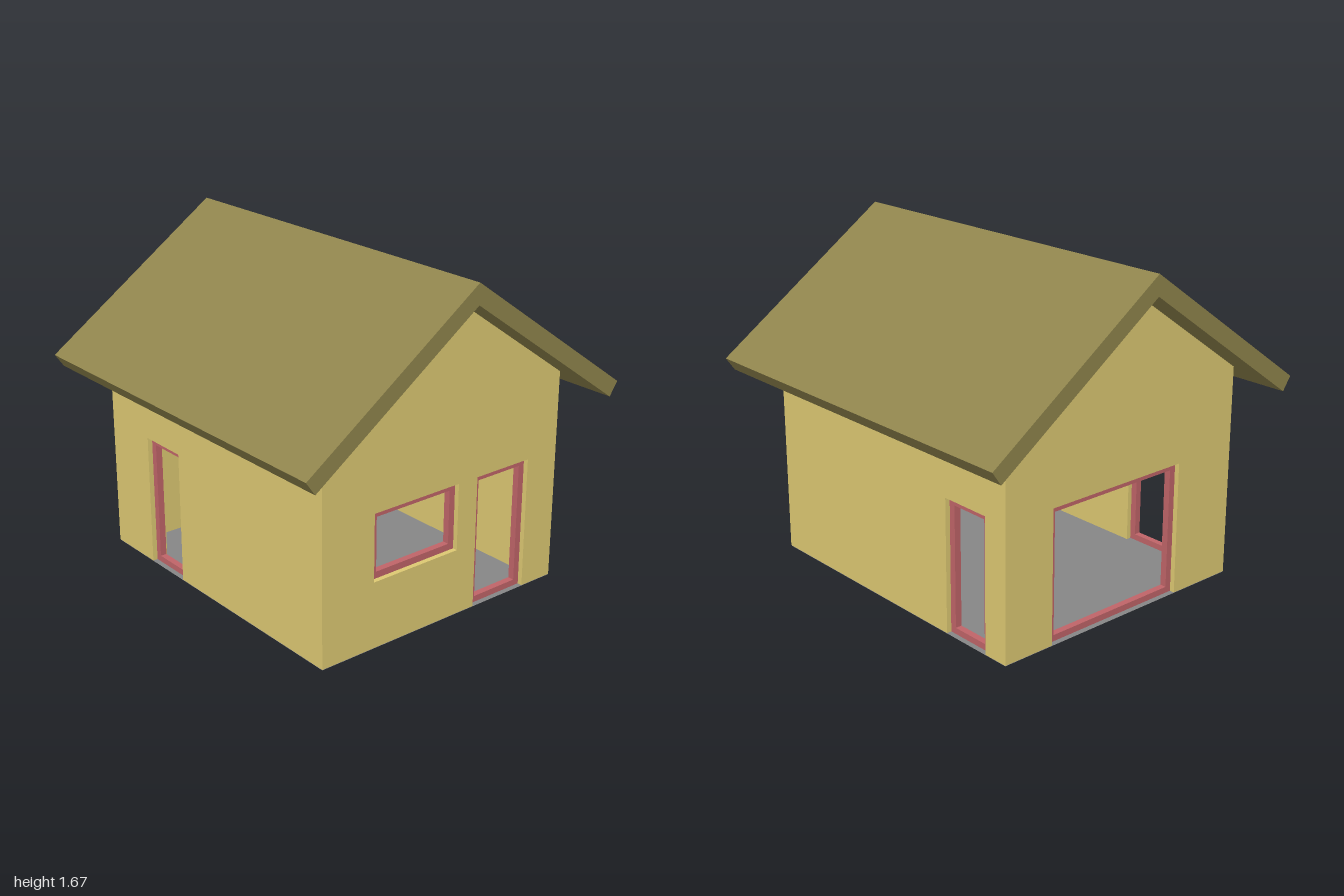
import * as THREE from 'three';

const W = 0.717, D = 0.833;      // half width and half depth of the house
const T = 0.083;                 // wall thickness
const F = 0.033;                 // frame width and depth
const H = 0.667;                 // head height of all openings
const BASE = 0.002;              // walls sit just on the floor sheet
const RIDGE = 1.567, SLOPE = 0.7;

const mat = (color, side = THREE.FrontSide) => new THREE.MeshStandardMaterial({ color, side });
const wallMat = mat(0xdcc872);
const roofMat = mat(0x8f844c);
const frameMat = mat(0xbf6468);
const floorMat = mat(0x868686, THREE.DoubleSide);

const toShape = (pts) => new THREE.Shape(pts.map(([x, y]) => new THREE.Vector2(x, y)));
const rect = (x0, y0, x1, y1) => [[x0, y0], [x1, y0], [x1, y1], [x0, y1]];

function extrude(name, shape, depth, material) {
  const geo = new THREE.ExtrudeGeometry(shape, { depth, bevelEnabled: false });
  const mesh = new THREE.Mesh(geo, material);
  mesh.name = name;
  return mesh;
}

// A wall from its half width and top outline, with doors as notches,
// windows as holes, and a recessed frame in each opening
function makeWall(name, half, top, openings) {
  const group = new THREE.Group();
  group.name = name;
  const pts = [[-half, BASE]];
  for (const o of openings.filter((o) => !o.sill)) {
    pts.push([o.a, BASE], [o.a, H], [o.b, H], [o.b, BASE]);
  }
  pts.push([half, BASE], ...top);
  const shape = toShape(pts);
  for (const o of openings.filter((o) => o.sill)) {
    shape.holes.push(toShape(rect(o.a, o.sill, o.b, H)));
  }
  group.add(extrude('wallPanel', shape, T, wallMat));

  for (const o of openings) {
    const y0 = o.sill || BASE;
    const ring = toShape(rect(o.a, y0, o.b, H));
    ring.holes.push(toShape(rect(o.a + F, (o.sill || 0) + F, o.b - F, H - F)));
    const frame = extrude(o.sill ? 'windowFrame' : 'doorFrame', ring, F, frameMat);
    frame.position.z = (T - F) / 2;
    group.add(frame);
  }
  return group;
}

export function createModel() {
  const house = new THREE.Group();
  house.name = 'house';

  // Gable walls
  const eave = RIDGE - SLOPE * W;
  const gable = [[W, eave], [0, RIDGE], [-W, eave]];
  const front = makeWall('frontWall', W, gable, [
    { a: -0.423, b: 0.08, sill: 0.333 },
    { a: 0.197, b: 0.528 },
  ]);
  front.position.z = D - T;
  const back = makeWall('backWall', W, gable, [{ a: -0.36, b: 0.44 }]);
  back.position.z = -D;

  // Side walls, tucked up into the roof slab
  const half = D - T, sideTop = RIDGE - SLOPE * (W - T);
  const top = [[half, sideTop], [-half, sideTop]];
  const left = makeWall('leftWall', half, top, [{ a: -0.7, b: -0.433 }]);
  left.position.x = W;
  const right = makeWall('rightWall', half, top, [{ a: -0.52, b: -0.253 }]);
  right.position.x = -W + T;
  for (const side of [left, right]) side.rotation.y = -Math.PI / 2;

  // Pitched roof with overhanging eaves
  const roof = extrude('roof', toShape([
    [0, 1.667], [-0.933, 1.014], [-0.886, 0.947],
    [0, RIDGE], [0.886, 0.947], [0.933, 1.014],
  ]), 2, roofMat);
  roof.position.z = -1;

  // Floor sheet under the whole footprint
  const floor = new THREE.Mesh(new THREE.PlaneGeometry(2 * W, 2 * D), floorMat);
  floor.name = 'floor';
  floor.rotation.x = -Math.PI / 2;

  house.add(front, back, left, right, roof, floor);
  return house;
}
